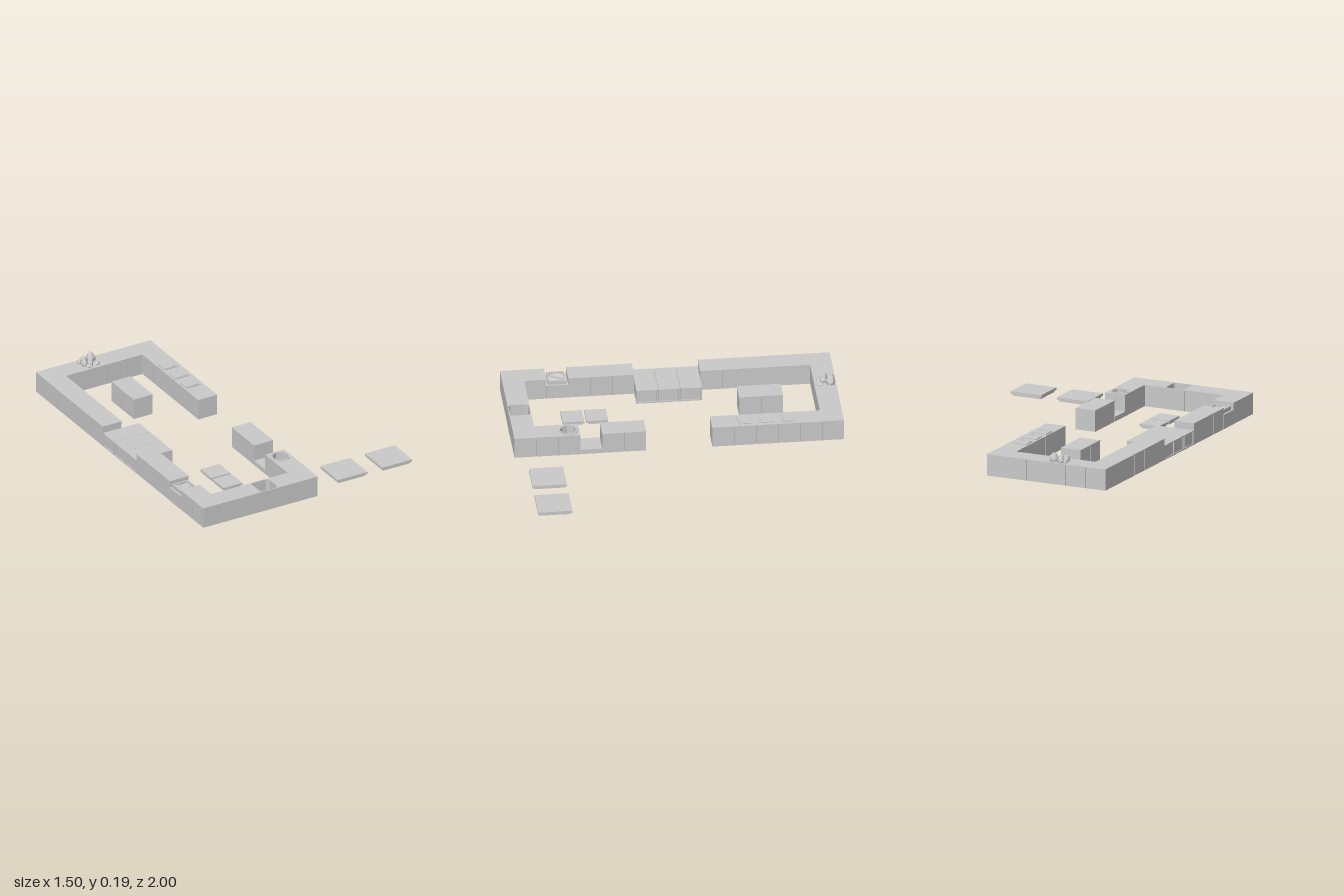
import * as THREE from 'three';
import { ConvexGeometry } from 'three/addons/geometries/ConvexGeometry.js';

const C = 2 / 15;   // cell size, also the counter height
const material = new THREE.MeshStandardMaterial({ color: 0xcccccc, flatShading: true, side: THREE.DoubleSide });
const cellX = i => -0.75 + (i + 0.5) * C;
const cellZ = j => -1 + (j + 0.5) * C;

function add(parent, name, geometry, x = 0, y = 0, z = 0) {
  const mesh = new THREE.Mesh(geometry, material);
  mesh.name = name;
  mesh.position.set(x, y, z);
  parent.add(mesh);
  return mesh;
}

// box standing on y
function block(parent, name, w, h, d, x, y, z) {
  return add(parent, name, new THREE.BoxGeometry(w, h, d), x, y + h / 2, z);
}

// cabinet body with a slightly wider worktop
function counter(parent, x, z, w = C, d = C, h = C) {
  const g = new THREE.Group();
  g.name = 'counter';
  block(g, 'cabinet', w - 0.002, h - 0.006, d - 0.002, x, 0, z);
  block(g, 'worktop', w, 0.006, d, x, h - 0.006, z);
  parent.add(g);
}

function roundedPath(path, w, r) {
  const a = w / 2, b = a - r;
  path.moveTo(-b, -a).lineTo(b, -a).absarc(b, -b, r, -Math.PI / 2, 0);
  path.lineTo(a, b).absarc(b, b, r, 0, Math.PI / 2);
  path.lineTo(-b, a).absarc(-b, b, r, Math.PI / 2, Math.PI);
  path.lineTo(-a, -b).absarc(-b, -b, r, Math.PI, Math.PI * 1.5);
  return path;
}

function squareShape(w) {
  const a = w / 2;
  return new THREE.Shape([[-a, -a], [a, -a], [a, a], [-a, a]].map(p => new THREE.Vector2(...p)));
}

// upright prism with an opening in its top
function hollow(parent, name, outer, hole, height, x, y, z) {
  outer.holes.push(hole);
  const geo = new THREE.ExtrudeGeometry(outer, { depth: height, bevelEnabled: false, curveSegments: 4 });
  geo.rotateX(-Math.PI / 2);
  return add(parent, name, geo, x, y, z);
}

function octagon(r) {
  return Array.from({ length: 8 }, (_, k) =>
    new THREE.Vector2(r * Math.cos(k * Math.PI / 4), r * Math.sin(k * Math.PI / 4)));
}

// faceted rock: points on a squashed ball, jittered by a rule, flat at its base
function rock(parent, x, z, w, h, d, seed) {
  const pts = [];
  for (let ring = 0; ring < 3; ring++) {
    const r = [0.95, 1, 0.55][ring], y = [0, 0.45, 1][ring];
    for (let k = 0; k < 6; k++) {
      const a = k * Math.PI / 3 + seed + ring * 0.4;
      const s = r * (0.9 + 0.1 * Math.sin(seed * 7 + k * 2.3 + ring));
      pts.push(new THREE.Vector3(Math.cos(a) * s * w / 2, y * h * (1 - 0.04 * (k % 3)), Math.sin(a) * s * d / 2));
    }
  }
  add(parent, 'rock', new ConvexGeometry(pts), x, C, z);
}

export function createModel() {
  const model = new THREE.Group();
  model.name = 'kitchen';

  // ring of counters, leaving out the special cells and the side openings
  const special = new Set(['3,14', '0,12', '5,12', '5,11']);
  for (let i = 0; i < 6; i++) {
    for (let j = 0; j < 15; j++) {
      const onRing = i === 0 || i === 5 || j === 0 || j === 14;
      const opening = (i === 0 || i === 5) && j > 5 && j < 9;
      if (onRing && !opening && !special.has(`${i},${j}`)) counter(model, cellX(i), cellZ(j));
    }
  }

  // low step in the right-hand row
  block(model, 'lowStep', C, 0.03, C, cellX(5), 0, cellZ(11));

  // counter with an octagonal pot sunk into it
  const px = cellX(5), pz = cellZ(12);
  hollow(model, 'potCounter', squareShape(C), new THREE.Path(octagon(0.055)), C - 0.02, px, 0.02, pz);
  block(model, 'potCounterBase', C, 0.02, C, px, 0, pz);
  hollow(model, 'potRim', new THREE.Shape(octagon(0.06)), new THREE.Path(octagon(0.05)), 0.06, px, C - 0.056, pz);
  add(model, 'potBottom', new THREE.CylinderGeometry(0.055, 0.055, 0.005, 8), px, C - 0.055, pz);

  // counter with a deep rounded bin
  const bx = cellX(3), bz = cellZ(14);
  hollow(model, 'binCounter', squareShape(C), roundedPath(new THREE.Path(), 0.122, 0.02), C - 0.01, bx, 0.01, bz);
  block(model, 'binBase', C, 0.01, C, bx, 0, bz);
  block(model, 'binFrontPanel', 0.12, 0.122, 0.002, bx, 0.006, 0.9995);

  // lowered basin with a rippled surface
  const sx = cellX(0), sz = cellZ(12);
  block(model, 'basinCabinet', C, 0.09, C, sx, 0, sz);
  hollow(model, 'basinRim', squareShape(0.11), squareShape(0.09), 0.025, sx, 0.09, sz);
  const ripple = new THREE.PlaneGeometry(0.09, 0.09, 5, 5).rotateX(-Math.PI / 2);
  const pos = ripple.attributes.position;
  for (let k = 0; k < pos.count; k++) {
    pos.setY(k, 0.003 * Math.sin(pos.getX(k) * 90 + pos.getZ(k) * 55));
  }
  ripple.computeVertexNormals();
  add(model, 'basinWater', ripple, sx, 0.105, sz);

  // low hatch bench of three cells, framed at both ends
  for (let j = 6; j < 9; j++) {
    const z = cellZ(j), x = -0.624, len = 0.252;
    block(model, 'hatchBody', len - 0.012, 0.084, C - 0.004, x, 0.002, z);
    block(model, 'hatchTop', len, 0.006, C - 0.002, x, 0.084, z);
    block(model, 'hatchBase', len, 0.008, C, x, 0, z);
    for (const sx2 of [-1, 1]) {
      for (const sz2 of [-1, 1]) {
        block(model, 'hatchFrame', 0.012, 0.08, 0.008, x + sx2 * (len / 2 - 0.006), 0.006, z + sz2 * (C / 2 - 0.005));
      }
    }
  }

  // island counter
  for (const z of [-0.6, -0.467]) counter(model, -0.35, z);

  // floor pads: a wide plate on a narrower base
  const pad = (name, x, z, w) => {
    block(model, name + 'Base', w - 0.02, 0.014, w - 0.02, x, 0, z);
    block(model, name + 'Plate', w, 0.015, w, x, 0.013, z);
  };
  for (const z of [0.46, 0.605]) pad('smallPad', -0.35, z, 0.132);
  for (const x of [0.333, 0.645]) pad('largePad', x, 0.828, 0.208);

  // chopping boards, each with a knife along its front edge
  for (let j = 2; j < 5; j++) {
    const x = cellX(5) - 0.005, z = cellZ(j);
    block(model, 'choppingBoard', 0.1, 0.006, 0.08, x, C, z);
    block(model, 'knifeBlade', 0.045, 0.002, 0.012, x - 0.015, C + 0.006, z + 0.03);
    block(model, 'knifeHandle', 0.025, 0.005, 0.008, x + 0.02, C + 0.006, z + 0.03);
  }

  // rock pile on the back row
  const rocks = [
    [-0.388, -0.965, 0.06, 0.052, 0.07, 0.3], [-0.435, -0.972, 0.045, 0.035, 0.05, 1.1],
    [-0.455, -0.93, 0.045, 0.038, 0.05, 2.0], [-0.415, -0.925, 0.045, 0.03, 0.045, 0.8],
    [-0.377, -0.905, 0.04, 0.016, 0.045, 1.7], [-0.435, -0.9, 0.05, 0.012, 0.035, 2.6],
    [-0.465, -0.97, 0.03, 0.02, 0.04, 0.5]
  ];
  for (const r of rocks) rock(model, ...r);

  return model;
}
